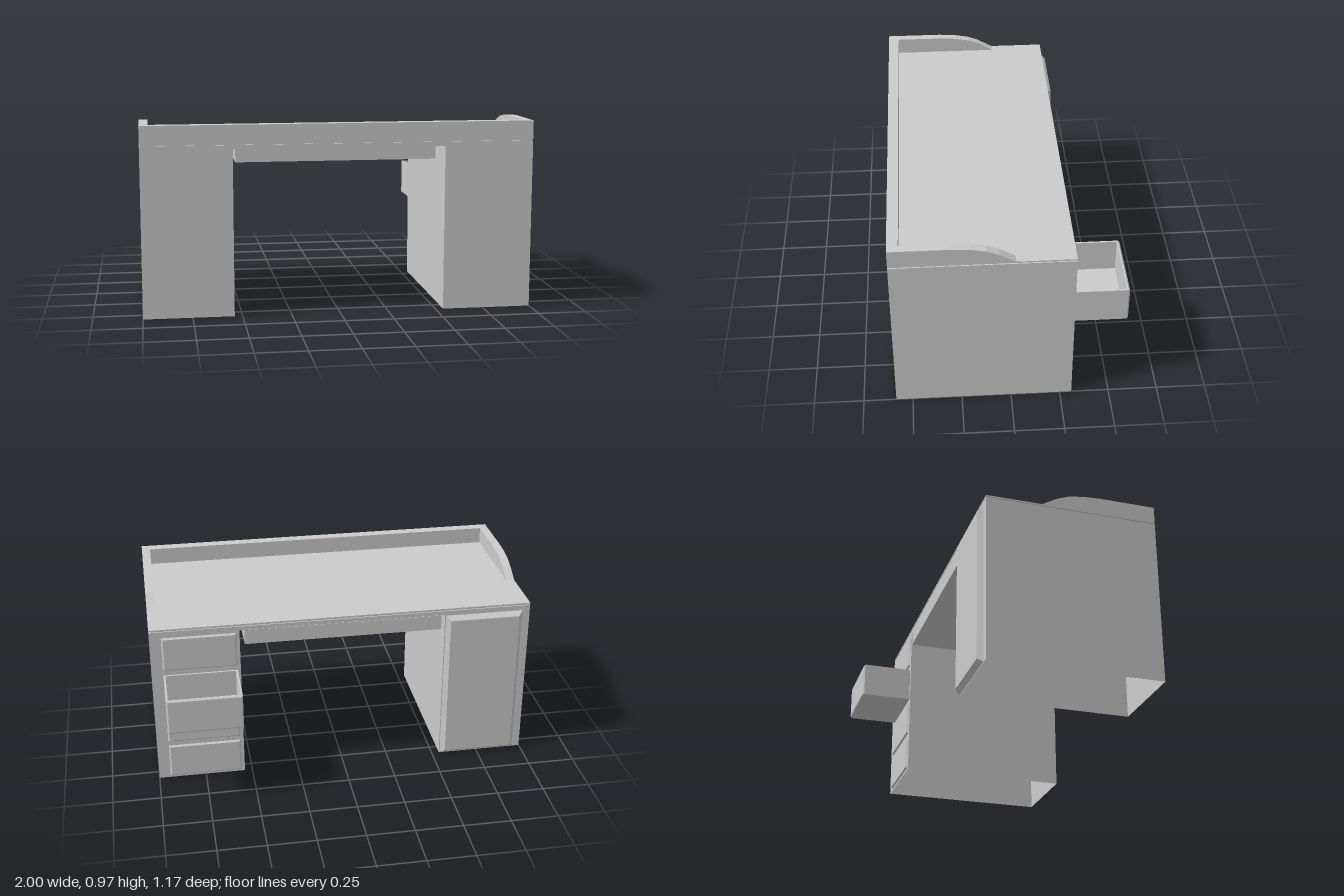
import * as THREE from 'three';

const BACK = -0.31, FRONT = 0.585;
const mat = new THREE.MeshStandardMaterial({ color: 0xcccccc, side: THREE.DoubleSide, flatShading: true });

function add(parent, name, geometry) {
  const mesh = new THREE.Mesh(geometry, mat);
  mesh.name = name;
  parent.add(mesh);
  return mesh;
}

// Box given by its lower and upper limits on each axis
function block(x0, x1, y0, y1, z0, z1) {
  return new THREE.BoxGeometry(x1 - x0, y1 - y0, z1 - z0)
    .translate((x0 + x1) / 2, (y0 + y1) / 2, (z0 + z1) / 2);
}

// Panel whose -z face is smaller than its base by the bevel width
function bevelPanel(x0, x1, y0, y1, zBase, zFace, bevel) {
  const g = block(x0, x1, y0, y1, zFace, zBase);
  const p = g.attributes.position;
  const cx = (x0 + x1) / 2, cy = (y0 + y1) / 2, mid = (zBase + zFace) / 2;
  for (let i = 0; i < p.count; i++) {
    if (p.getZ(i) > mid) continue;
    p.setX(i, p.getX(i) - Math.sign(p.getX(i) - cx) * bevel);
    p.setY(i, p.getY(i) - Math.sign(p.getY(i) - cy) * bevel);
  }
  g.computeVertexNormals();
  return g;
}

// Two hollow pedestals joined by the upper board, open underneath
function carcassGeometry() {
  const s = new THREE.Shape([
    [-1, 0], [-0.54, 0], [-0.54, 0.85], [0.54, 0.85],
    [0.54, 0], [1, 0], [1, 0.872], [-1, 0.872],
  ].map(([x, y]) => new THREE.Vector2(x, y)));
  const g = new THREE.ExtrudeGeometry(s, { depth: FRONT - BACK, bevelEnabled: false })
    .translate(0, 0, BACK);
  const p = g.attributes.position, kept = [];
  for (let i = 0; i < p.count; i += 3) {
    const onFloor = [0, 1, 2].every((k) => p.getY(i + k) < 0.001);
    if (!onFloor) kept.push(i, i + 1, i + 2);
  }
  g.clearGroups();
  g.setIndex(kept);
  return g;
}

// Side rail that sweeps down in a curve towards the back
function sideRailGeometry() {
  const s = new THREE.Shape();
  s.moveTo(-0.53, 0.885);
  s.lineTo(0.02, 0.885);
  s.lineTo(-0.06, 0.931);
  s.lineTo(-0.12, 0.954);
  s.lineTo(-0.2, 0.968);
  s.lineTo(-0.29, 0.973);
  s.lineTo(-0.53, 0.973);
  s.closePath();
  return new THREE.ExtrudeGeometry(s, { depth: 0.045, bevelEnabled: false }).rotateY(Math.PI / 2);
}

export function createModel() {
  const desk = new THREE.Group();
  desk.name = 'desk';

  add(desk, 'carcass', carcassGeometry());

  // Desktop over a narrow shadow gap
  add(desk, 'shadowGap', block(-0.994, 0.994, 0.872, 0.878, BACK + 0.006, FRONT - 0.006));
  add(desk, 'desktop', block(-1, 1, 0.878, 0.885, BACK, FRONT));

  // Raised rail around the front and sides
  add(desk, 'frontRail', block(-1, 1, 0.885, 0.973, 0.53, FRONT));
  for (const x of [-1, 0.955]) {
    add(desk, x < 0 ? 'rightRail' : 'leftRail', sideRailGeometry()).position.x = x;
  }

  // Wide shallow drawer over the knee space
  add(desk, 'centreDrawer', block(-0.52, 0.515, 0.77, 0.85, BACK - 0.002, 0.47));

  // Cupboard door
  add(desk, 'cupboardDoor', bevelPanel(-0.96, -0.545, 0.004, 0.845, BACK, -0.336, 0.022));

  // Closed drawer fronts
  for (const y of [0.01, 0.223, 0.65]) {
    add(desk, 'drawerFront', bevelPanel(0.557, 0.94, y, y + 0.188, BACK, -0.319, 0.008));
  }

  // Pulled-out drawer
  const drawer = new THREE.Group();
  drawer.name = 'openDrawer';
  desk.add(drawer);
  const [x0, x1, y0, y1] = [0.557, 0.94, 0.435, 0.623];
  add(drawer, 'drawerFloor', block(x0, x1, y0, y0 + 0.012, -0.578, BACK));
  add(drawer, 'drawerBack', block(x0 + 0.01, x1 - 0.01, y0 + 0.012, y1, -0.32, BACK));
  add(drawer, 'drawerSide', block(x0, x0 + 0.01, y0 + 0.012, y1, -0.578, BACK));
  add(drawer, 'drawerSide', block(x1 - 0.01, x1, y0 + 0.012, y1, -0.578, BACK));
  add(drawer, 'drawerInnerFront', block(x0 + 0.01, x1 - 0.01, y0 + 0.012, y1, -0.578, -0.57));
  add(drawer, 'drawerFront', bevelPanel(x0, x1, y0, y1, -0.578, -0.585, 0.007));

  return desk;
}
